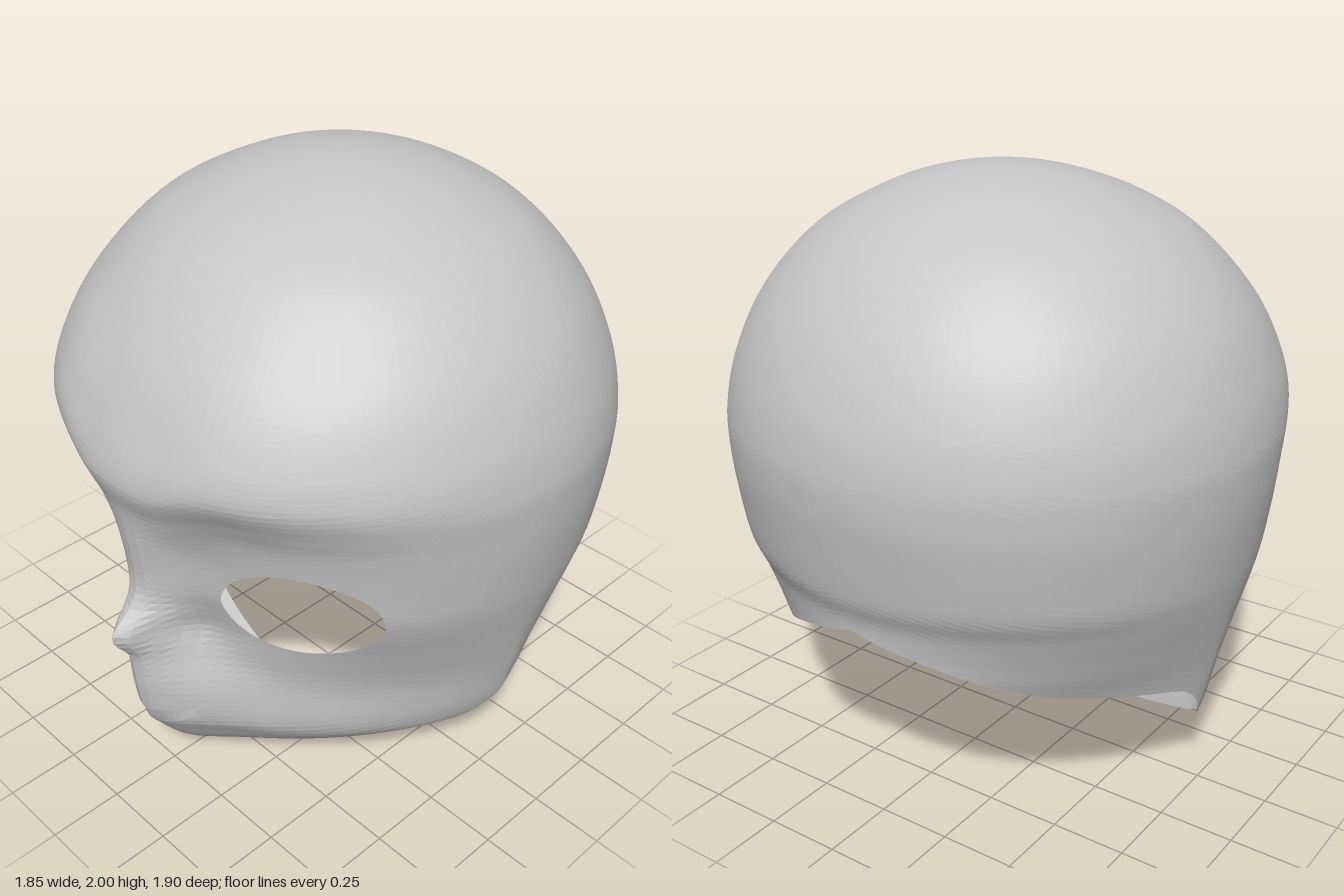
import * as THREE from 'three';

// Level sections: height, half width, face depth, centre ridge, ridge width, back depth
const SECTIONS = [
  [2.00, 0.00, -0.06, 0.000, 0.25, -0.06],
  [1.95, 0.31, 0.24, 0.000, 0.25, -0.36],
  [1.90, 0.43, 0.38, 0.000, 0.25, -0.48],
  [1.80, 0.605, 0.55, 0.000, 0.25, -0.64],
  [1.60, 0.79, 0.74, 0.000, 0.25, -0.815],
  [1.40, 0.885, 0.85, 0.000, 0.25, -0.91],
  [1.24, 0.92, 0.895, 0.003, 0.25, -0.945],
  [1.12, 0.92, 0.825, 0.045, 0.20, -0.945],
  [1.00, 0.91, 0.76, 0.095, 0.17, -0.93],
  [0.83, 0.885, 0.735, 0.105, 0.15, -0.90],
  [0.75, 0.87, 0.72, 0.145, 0.12, -0.87],
  [0.66, 0.85, 0.71, 0.240, 0.09, -0.86],
  [0.55, 0.825, 0.72, 0.170, 0.13, -0.86],
  [0.40, 0.79, 0.74, 0.130, 0.21, -0.82],
  [0.27, 0.755, 0.75, 0.095, 0.19, -0.75],
  [0.20, 0.715, 0.72, 0.080, 0.15, -0.70],
  [0.10, 0.57, 0.66, 0.060, 0.12, -0.64],
  [0.00, 0.30, 0.57, 0.020, 0.10, -0.60],
];
// Lower edge of the shell: angle from the front in degrees, height
const EDGE = [[0, 0], [15, 0.01], [31, 0.03], [50, 0.09], [65, 0.17], [79, 0.24],
  [90, 0.30], [102, 0.40], [112, 0.44], [125, 0.47], [141, 0.52], [163, 0.64], [180, 0.71]];
const CENTRE = -0.06, COLS = 144, ROWS = 116, JAW = 88;

// Smooth curve through table rows; key turns a row into its position
function sample(table, key, col, k) {
  let i = 0;
  while (i < table.length - 2 && k > key(table[i + 1])) i++;
  const K = n => key(table[n]), V = n => table[n][col];
  const slope = n => {
    const a = Math.max(n - 1, 0), b = Math.min(n + 1, table.length - 1);
    return (V(b) - V(a)) / (K(b) - K(a));
  };
  const h = K(i + 1) - K(i), t = THREE.MathUtils.clamp((k - K(i)) / h, 0, 1);
  const t2 = t * t, t3 = t2 * t;
  return (2 * t3 - 3 * t2 + 1) * V(i) + (t3 - 2 * t2 + t) * h * slope(i)
    + (3 * t2 - 2 * t3) * V(i + 1) + (t3 - t2) * h * slope(i + 1);
}
const section = (y, col) =>
  sample(SECTIONS, r => Math.sqrt(2 - r[0]), col, Math.sqrt(Math.max(0, 2 - y)));
const edgeHeight = deg => sample(EDGE, r => r[0], 1, Math.abs(deg));

// Point on the head at an angle from the front and a height
function surface(angle, y) {
  const s = Math.sin(angle), x = section(y, 1) * s;
  // Sections are elliptical above and taper to flatter cheeks towards the jaw
  const power = 1.5 + 0.5 * THREE.MathUtils.smoothstep(y, 0.4, 0.88);
  const c = Math.pow(Math.max(0, 1 - Math.pow(Math.abs(s), power)), 1 / power);
  if (Math.cos(angle) <= 0) {
    return new THREE.Vector3(x, y, CENTRE - c * (CENTRE - section(y, 5)));
  }
  // The brow sits a little higher over the eyes than between them
  const arch = THREE.MathUtils.smoothstep(Math.abs(x), 0.1, 0.4)
    * THREE.MathUtils.smoothstep(y, 0.95, 1.15) * (1 - THREE.MathUtils.smoothstep(y, 1.4, 1.7));
  const depth = section(y - 0.06 * arch, 2) - CENTRE;
  const ridge = section(y, 3) * Math.exp(-((x / section(y, 4)) ** 2));
  return new THREE.Vector3(x, y, CENTRE + c * depth + ridge * c);
}

// Moves a point inside an eye or the mouth to that opening's outline
function snapToOpening(x, y) {
  const side = Math.sign(x) || 1;
  const ex = (Math.abs(x) - 0.47) / 0.22, ey = (y - 0.825 - 0.02 * ex) / 0.175;
  const d = Math.hypot(ex, ey);
  if (d < 1 && d > 1e-4) {
    const nx = ex / d;
    return [side * (0.47 + 0.22 * nx), 0.825 + 0.02 * nx + 0.175 * ey / d];
  }
  const m = (x / 0.21) ** 2, mid = 0.28 + 0.075 * m;
  const half = 0.031 * Math.sqrt(Math.max(0, 1 - m));
  if (m < 1 && Math.abs(y - mid) < half) return [x, y > mid ? mid + half : mid - half];
  return null;
}

// Builds a sheet from a mirrored grid of points, leaving out cells inside openings
function sheet(name, grid, open, material) {
  const pos = [];
  const tri = (...ids) => {
    if (ids.every(([i, j]) => open[i]?.[j])) return;
    const [a, b, c] = ids.map(([i, j]) => grid[i][j]);
    const area = b.clone().sub(a).cross(c.clone().sub(a)).length();
    if (area > 1e-8) for (const p of [a, b, c]) pos.push(p.x, p.y, p.z);
  };
  const half = (grid.length - 1) / 2;
  for (let i = 0; i < grid.length - 1; i++) {
    for (let j = 0; j < grid[i].length - 1; j++) {
      const a = [i, j], b = [i, j + 1], c = [i + 1, j + 1], d = [i + 1, j];
      if (i < half) {
        tri(a, b, c);
        tri(a, c, d);
      } else {
        tri(a, b, d);
        tri(b, c, d);
      }
    }
  }
  const geometry = new THREE.BufferGeometry();
  geometry.setAttribute('position', new THREE.Float32BufferAttribute(pos, 3));
  geometry.computeVertexNormals();
  const mesh = new THREE.Mesh(geometry, material);
  mesh.name = name;
  return mesh;
}

export function createModel() {
  const model = new THREE.Group();
  model.name = 'headShell';
  const grey = new THREE.MeshStandardMaterial({
    name: 'plainGrey', color: 0xc6c6c6, flatShading: true, side: THREE.DoubleSide });

  // Skull and face, hung in columns from the crown to the lower edge
  const grid = [], open = [];
  for (let i = 0; i <= COLS; i++) {
    const deg = -180 + 360 * i / COLS, angle = THREE.MathUtils.degToRad(deg);
    const bottom = edgeHeight(deg);
    grid.push([]);
    open.push([]);
    for (let j = 0; j <= ROWS; j++) {
      const y = 2 - (2 - bottom) * (1 - Math.cos(j / ROWS * Math.PI / 2));
      let p = surface(angle, y);
      const hit = Math.cos(angle) > 0 ? snapToOpening(p.x, y) : null;
      if (hit) {
        const s = THREE.MathUtils.clamp(hit[0] / section(hit[1], 1), -1, 1);
        p = surface(Math.asin(s), hit[1]);
      }
      grid[i].push(p);
      open[i].push(!!hit);
    }
  }
  model.add(sheet('skullAndFace', grid, open, grey));

  // Underside of the jaw, from the jaw edge in to the neck opening
  const under = [];
  for (let i = 0; i <= 56; i++) {
    const deg = -JAW + 2 * JAW * i / 56;
    const edge = surface(THREE.MathUtils.degToRad(deg), edgeHeight(deg));
    const f = Math.max(0, 1 - (edge.x / 0.76) ** 2);
    const rim = new THREE.Vector3(edge.x * 0.98, edge.y + 0.05 * f,
      Math.min(edge.z, 0.2 * f));
    under.push([0, 0.25, 0.5, 0.75, 1].map(t => edge.clone().lerp(rim, t)));
  }
  model.add(sheet('jawUnderside', under, [], grey));
  return model;
}
